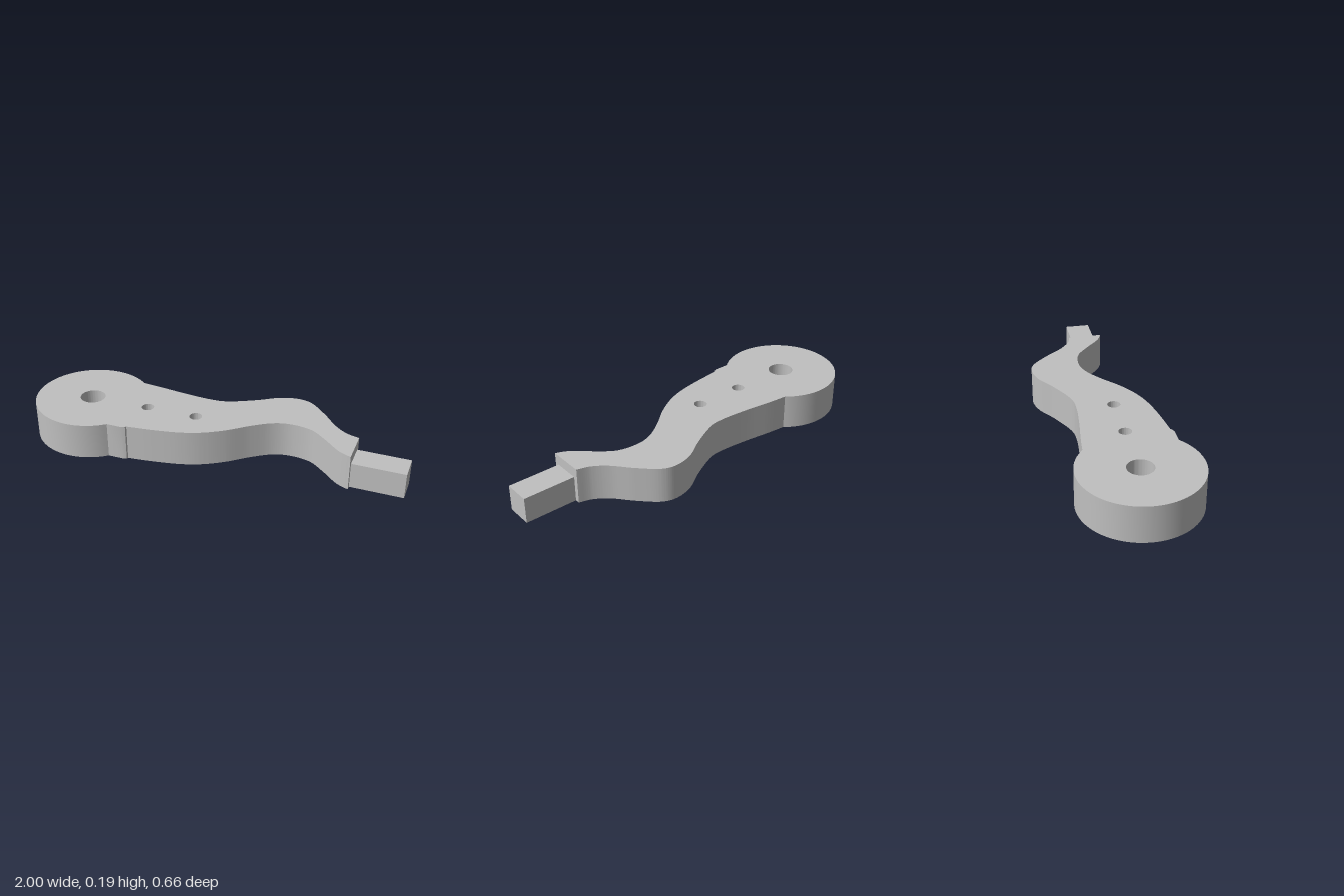
import * as THREE from 'three';
import { toCreasedNormals } from 'three/addons/utils/BufferGeometryUtils.js';

const HUB = { x: -0.698, z: 0.028, r: 0.302 };

// Plan points are [x, z]; the shape plane uses y = -z.
const plan = (points) => points.map(([x, z]) => new THREE.Vector2(x, -z));

function armShape() {
  const shape = new THREE.Shape();
  const joint = 0.87; // angle where the hub meets the arm

  // round hub, from the front joint around to the back joint
  shape.absarc(HUB.x, -HUB.z, HUB.r, -joint, joint, true);

  // back edge, out to the tip
  shape.splineThru(plan([
    [-0.4, -0.193], [-0.25, -0.174], [-0.1, -0.163], [0, -0.176],
    [0.136, -0.242], [0.243, -0.308], [0.34, -0.331], [0.42, -0.309],
    [0.51, -0.225], [0.59, -0.134], [0.66, -0.083], [0.728, -0.062],
  ]));

  // square tip, then the front edge back to the hub
  shape.lineTo(0.728, -0.12);
  shape.splineThru(plan([
    [0.66, 0.088], [0.564, 0.004], [0.484, -0.052], [0.377, -0.068],
    [0.286, -0.046], [0.19, 0.016], [0.083, 0.103], [-0.024, 0.167],
    [-0.13, 0.204], [-0.265, 0.229], [-0.4, 0.245],
  ]));

  // small step beside the hub
  shape.lineTo(-0.404, -0.253);
  shape.lineTo(-0.425, -0.259);

  // pivot hole and two smaller holes
  for (const [x, r] of [[HUB.x, 0.066], [-0.377, 0.033], [-0.107, 0.033]]) {
    const hole = new THREE.Path();
    hole.absarc(x, -HUB.z, r, 0, Math.PI * 2, false);
    shape.holes.push(hole);
  }
  return shape;
}

export function createModel() {
  const group = new THREE.Group();
  group.name = 'leverArm';
  const grey = new THREE.MeshStandardMaterial({ color: 0xc0c0c0 });
  grey.name = 'grey';

  // curved arm plate
  const armGeometry = new THREE.ExtrudeGeometry(armShape(), {
    depth: 0.19, bevelEnabled: false, curveSegments: 32,
  });
  armGeometry.rotateX(-Math.PI / 2);
  const arm = new THREE.Mesh(toCreasedNormals(armGeometry, 0.4), grey);
  arm.name = 'arm';
  group.add(arm);

  // square tab on the tip
  const tab = new THREE.Mesh(new THREE.BoxGeometry(0.272, 0.136, 0.134), grey);
  tab.name = 'endTab';
  tab.position.set(0.864, 0.068, 0.029);
  group.add(tab);

  return group;
}
